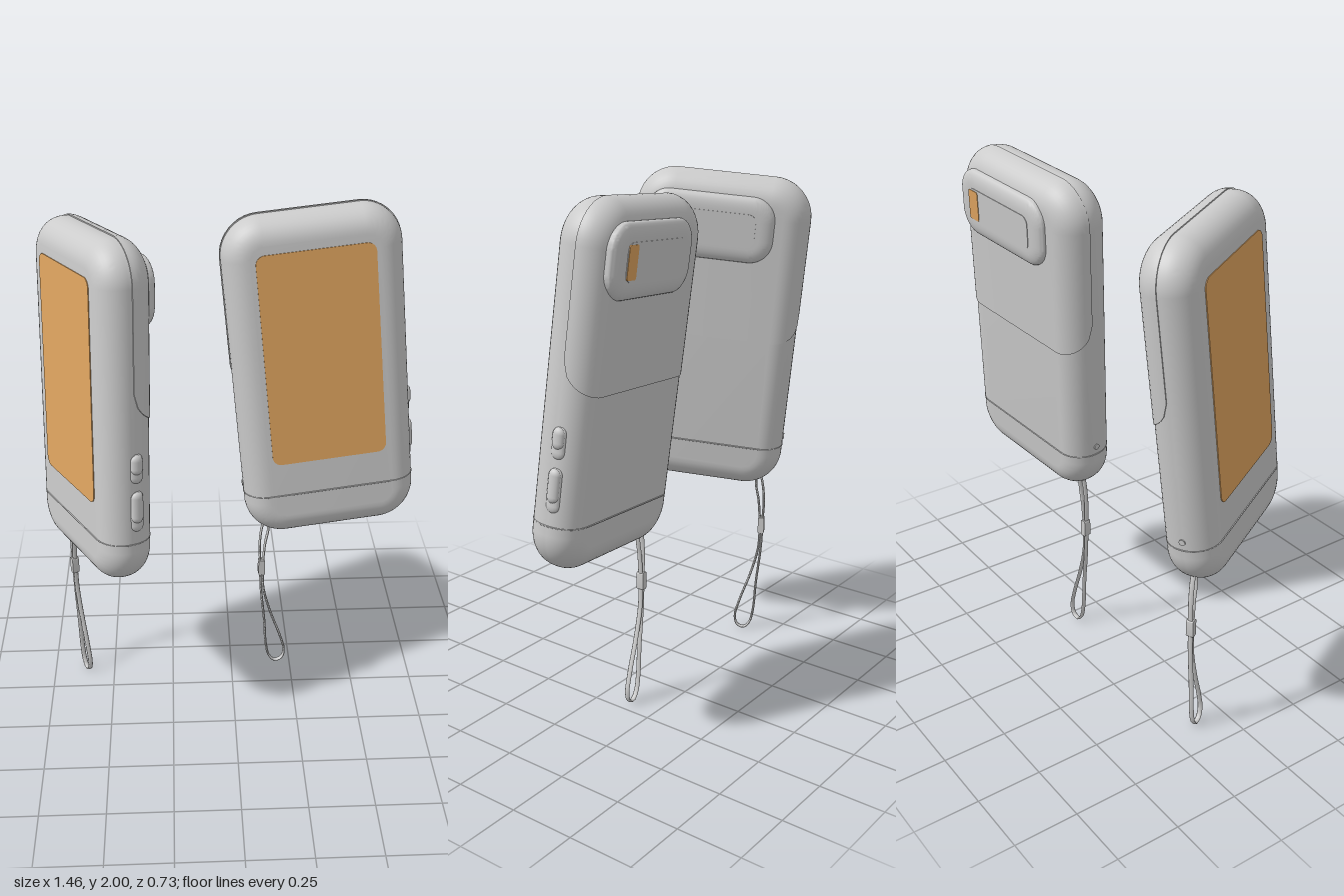
import * as THREE from 'three';
import { toCreasedNormals } from 'three/addons/utils/BufferGeometryUtils.js';

const W = 0.675, H = 1.275, T = 0.2, R = 0.15, B = 0.095; // body size, corner radius, edge rounding
const grey = new THREE.MeshStandardMaterial({ color: 0xcccccc });
const greyThin = new THREE.MeshStandardMaterial({ color: 0xcccccc, side: THREE.DoubleSide });
const orange = new THREE.MeshStandardMaterial({ color: 0xe0a560 });

function add(parent, name, geometry, x = 0, y = 0, z = 0, material = grey) {
  const mesh = new THREE.Mesh(geometry, material);
  mesh.name = name;
  mesh.position.set(x, y, z);
  parent.add(mesh);
  return mesh;
}

function roundedRect(w, h, r) {
  const s = new THREE.Shape(), x = w / 2 - r, y = h / 2 - r;
  s.absarc(x, y, r, 0, Math.PI / 2);
  s.absarc(-x, y, r, Math.PI / 2, Math.PI);
  s.absarc(-x, -y, r, Math.PI, Math.PI * 1.5);
  s.absarc(x, -y, r, Math.PI * 1.5, Math.PI * 2);
  s.closePath();
  return s;
}

// Rounded plate whose inner face is w by h and whose soft rim grows outward; centred on z
function plate(w, h, r, depth, rim = 0, rimHeight = rim, segments = 10) {
  const g = new THREE.ExtrudeGeometry(roundedRect(w, h, r), {
    depth, curveSegments: 10, bevelEnabled: rim > 0,
    bevelSize: rim, bevelThickness: rimHeight, bevelSegments: segments,
  });
  g.translate(0, 0, -depth / 2);
  return toCreasedNormals(g, 0.6);
}

// Slightly raised shell over the upper back, with rounded lower corners on the sides
function backCoverGeometry() {
  const ix = W / 2 - R, iy = H / 2 - R, ri = R - B, steps = 10, radius = 0.12;
  const columns = [];
  for (let k = 0; k <= steps; k++) columns.push([ix, (k / steps) * Math.PI / 2]);
  for (let k = 0; k <= steps; k++) columns.push([-ix, (1 + k / steps) * Math.PI / 2]);
  const rows = [[0, -0.006, 1]];
  for (let k = 0; k <= steps; k++) rows.push([(k / steps) * Math.PI / 2, 0.004, 1]);
  rows.push([Math.PI / 2, 0.004, 0]);

  const pos = [], index = [];
  const point = (cx, angle, y, [phi, lift, xScale], e) => {
    const out = ri + (B + e) * Math.cos(phi);
    pos.push((cx + out * Math.cos(angle)) * xScale, y + out * Math.sin(angle), -0.008 - (B - 0.003 + e) * Math.sin(phi));
  };
  for (const row of rows) {
    const t = 1 - row[0] / (Math.PI / 2);
    const low = radius * (1 - Math.sqrt(1 - t * t));
    point(ix, 0, low, row, -0.006);
    point(ix, 0, low, row, row[1]);
    for (const [cx, a] of columns) point(cx, a, iy, row, row[1]);
    point(-ix, Math.PI, low, row, row[1]);
    point(-ix, Math.PI, low, row, -0.006);
  }
  const n = columns.length + 4;
  for (let r = 0; r < rows.length - 1; r++) {
    for (let c = 0; c < n - 1; c++) {
      const a = r * n + c, b = a + n;
      index.push(a, b, a + 1, a + 1, b, b + 1);
    }
  }
  const g = new THREE.BufferGeometry();
  g.setAttribute('position', new THREE.Float32BufferAttribute(pos, 3));
  g.setIndex(index);
  return toCreasedNormals(g, 0.6);
}

// Fine ring around the body where the bottom cap meets it
function capSeamGeometry() {
  const pts = roundedRect(W, T, T / 2 - 0.002).getSpacedPoints(80).slice(0, -1);
  const path = new THREE.CatmullRomCurve3(pts.map((p) => new THREE.Vector3(p.x, 0, p.y)), true);
  return new THREE.TubeGeometry(path, 100, 0.003, 6, true);
}

// Flat cord following points in the xy plane
function cord(points, closed) {
  const path = new THREE.CatmullRomCurve3(points.map(([x, y]) => new THREE.Vector3(x, y, 0)), closed);
  return new THREE.TubeGeometry(path, 70, 0.005, 8, closed).scale(1, 1, 2);
}

function createDevice() {
  const device = new THREE.Group();
  device.name = 'device';
  add(device, 'body', plate(W - 2 * B, H - 2 * B, R - B, T - 2 * B, B));
  add(device, 'backCover', backCoverGeometry(), 0, 0, 0, greyThin);
  add(device, 'bottomCapSeam', capSeamGeometry(), 0, -0.455, 0);
  add(device, 'screen', plate(0.445, 0.83, 0.035, 0.006), 0, 0.095, T / 2, orange);

  // Camera island on the back
  add(device, 'cameraIsland', plate(0.39, 0.145, 0.035, 0.03, 0.055, 0.025, 8), 0.04, 0.445, -T / 2 + 0.01);
  add(device, 'cameraWindow', plate(0.36, 0.13, 0.03, 0.004), 0.04, 0.445, -T / 2 - 0.03);
  add(device, 'cameraLens', plate(0.055, 0.115, 0.008, 0.006), 0.19, 0.445, -T / 2 - 0.031, orange);

  // Side buttons: a low base with a shorter raised key
  for (const [y, length] of [[-0.16, 0.115], [-0.325, 0.16]]) {
    const base = add(device, 'buttonBase', new THREE.CapsuleGeometry(0.026, length - 0.052, 6, 16), W / 2 - 0.005, y, -0.015);
    base.scale.x = 0.5;
    const key = add(device, 'buttonKey', new THREE.CapsuleGeometry(0.023, length - 0.085, 6, 16), W / 2, y + 0.016, -0.015);
    key.scale.x = 0.7;
  }
  // Small pin on the opposite side
  add(device, 'sidePin', new THREE.CylinderGeometry(0.012, 0.012, 0.008, 16).rotateZ(Math.PI / 2), -W / 2, -0.42, 0);
  return device;
}

function createStrap() {
  const strap = new THREE.Group();
  strap.name = 'wristStrap';
  add(strap, 'upperCord', cord([[-0.227, -0.83], [-0.23, -0.74], [-0.222, -0.66], [-0.205, -0.6],
    [-0.195, -0.66], [-0.208, -0.74], [-0.216, -0.83]], false));
  add(strap, 'bead', plate(0.026, 0.07, 0.006, 0.028), -0.222, -0.85, 0);
  add(strap, 'lowerLoop', cord([[-0.227, -0.87], [-0.222, -0.97], [-0.207, -1.12], [-0.198, -1.25], [-0.184, -1.31],
    [-0.16, -1.336], [-0.13, -1.325], [-0.12, -1.285], [-0.138, -1.21], [-0.182, -1.08], [-0.212, -0.96], [-0.217, -0.87]], false));
  strap.position.z = 0.035;
  return strap;
}

export function createModel() {
  const model = new THREE.Group();
  const deg = Math.PI / 180;
  const placements = [
    ['turnedDevice', -0.515, 1.345, 0, -63.5, -3.8],
    ['facingDevice', 0.343, 1.35, -0.18, 4.7, -4.5],
  ];
  for (const [name, x, y, z, yaw, pitch] of placements) {
    const set = new THREE.Group();
    set.name = name;
    set.position.set(x, y, z);
    set.rotation.y = yaw * deg;
    const device = createDevice();
    device.rotation.set(pitch * deg, 0, 4.9 * deg);
    set.add(device, createStrap());
    model.add(set);
  }
  return model;
}
